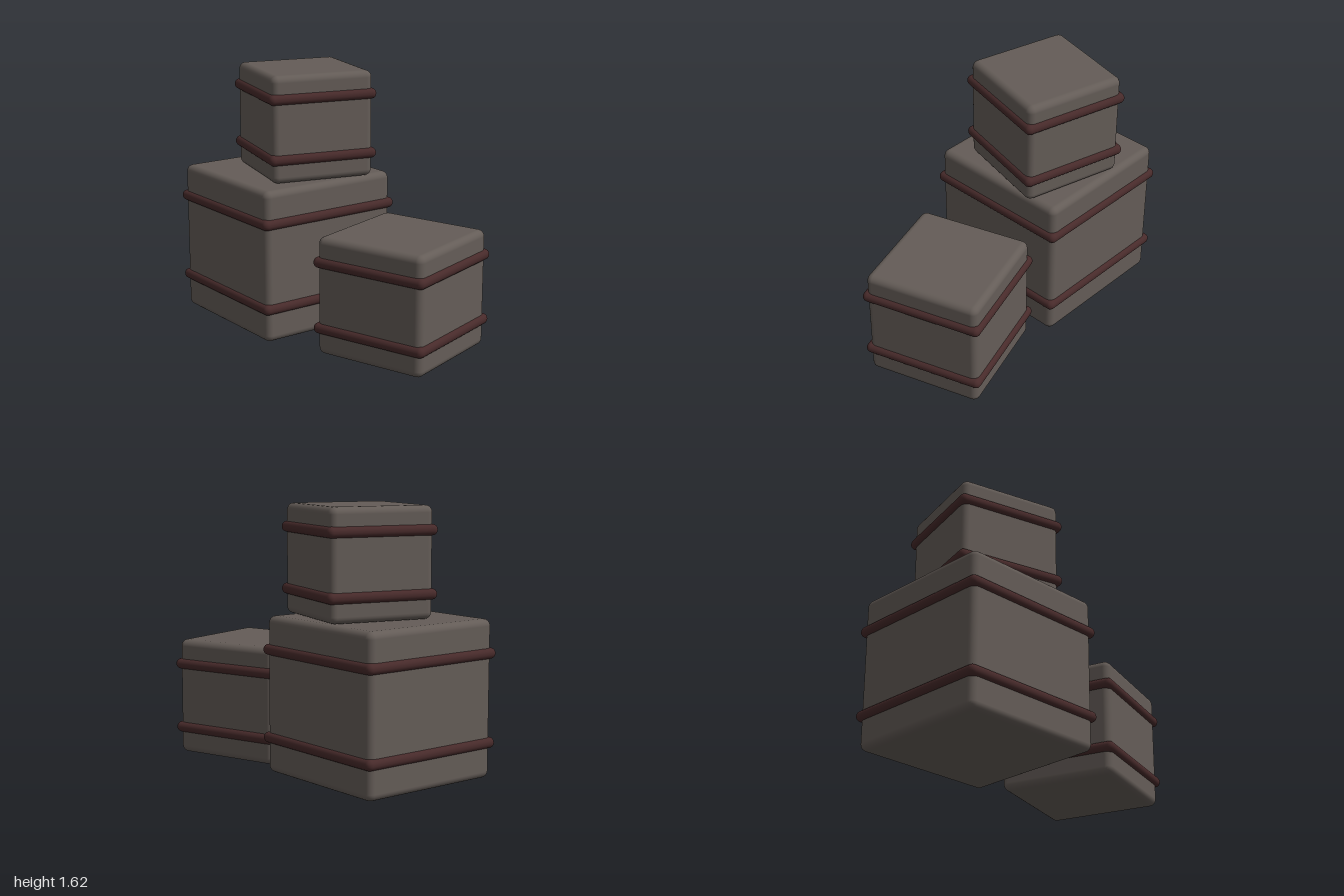
import * as THREE from 'three';
import { RoundedBoxGeometry } from 'three/addons/geometries/RoundedBoxGeometry.js';

const crateGrey = new THREE.MeshStandardMaterial({ color: 0x645c57 });
crateGrey.name = 'crateGrey';
const bandBrown = new THREE.MeshStandardMaterial({ color: 0x472a2a });
bandBrown.name = 'bandBrown';

// One rounded crate with two bands around it; its origin is the bottom centre
function makeCrate(name, size, height) {
  const crate = new THREE.Group();
  crate.name = name;

  const body = new THREE.Mesh(new RoundedBoxGeometry(size, height, size, 3, 0.042), crateGrey);
  body.name = 'body';
  body.position.y = height / 2;
  crate.add(body);

  // Rounded bands stand slightly proud of the sides
  const bandSize = size + 0.044;
  for (const [bandName, level] of [['lowerBand', 0.224], ['upperBand', 0.786]]) {
    const band = new THREE.Mesh(new RoundedBoxGeometry(bandSize, 0.066, bandSize, 3, 0.032), bandBrown);
    band.name = bandName;
    band.position.y = height * level;
    crate.add(band);
  }
  return crate;
}

export function createModel() {
  const model = new THREE.Group();
  model.name = 'crateStack';

  // name, side, height, position, turn
  const crates = [
    ['largeCrate', 0.95, 0.955, [-0.502, 0, 0.055], 0],
    ['topCrate', 0.66, 0.665, [-0.391, 0.957, -0.012], -0.25],
    ['sideCrate', 0.732, 0.732, [0.521, 0, -0.077], 0.31],
  ];
  for (const [name, size, height, position, turn] of crates) {
    const crate = makeCrate(name, size, height);
    crate.position.set(...position);
    crate.rotation.y = turn;
    model.add(crate);
  }
  return model;
}
